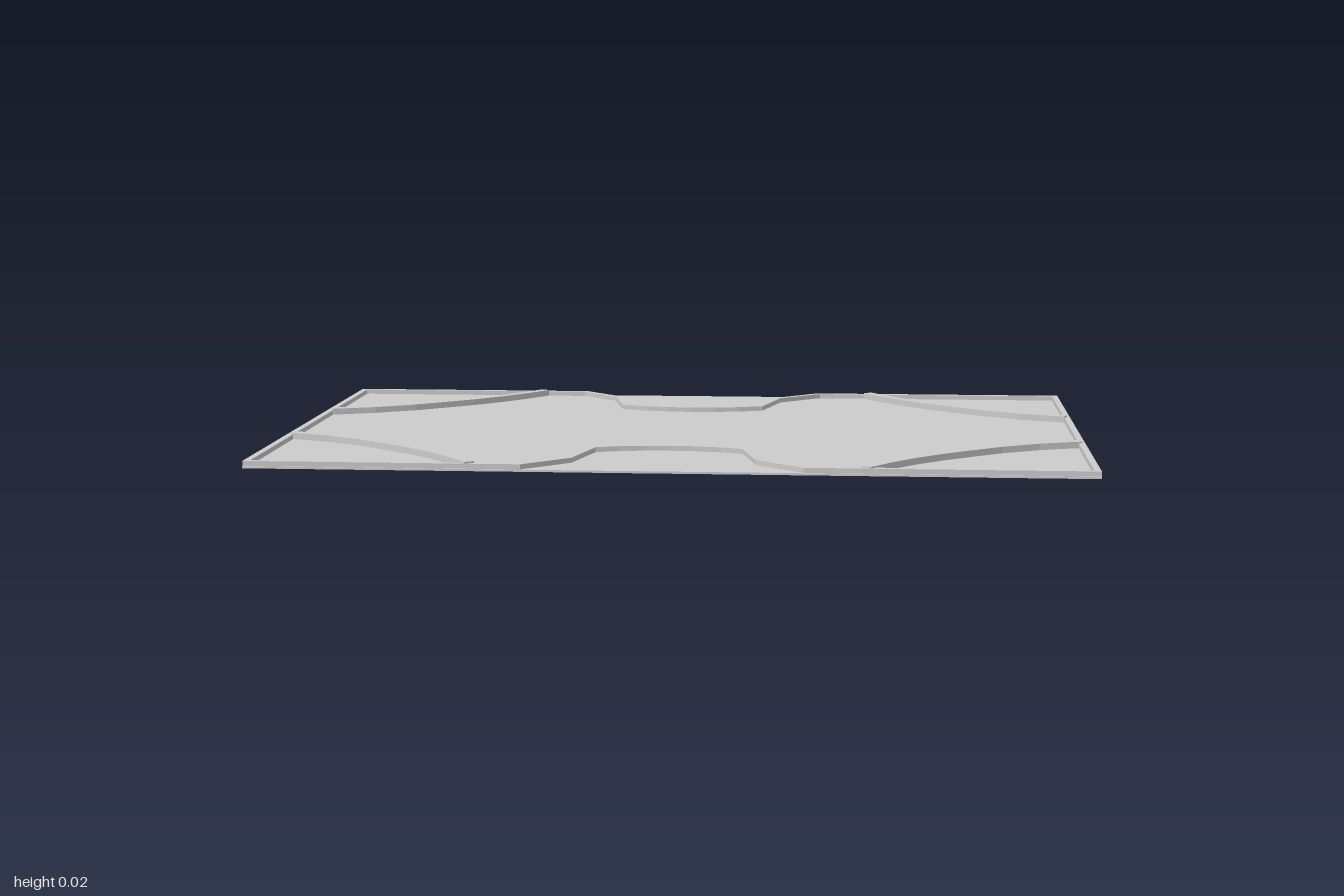
import * as THREE from 'three';

const material = new THREE.MeshStandardMaterial({ color: 0xcccccc });
const PLATE = 0.005;

// Shift a polyline sideways by d with mitred corners
function offset(points, d, closed) {
  const n = points.length;
  return points.map((p, i) => {
    const prev = closed ? points[(i + n - 1) % n] : points[Math.max(i - 1, 0)];
    const next = closed ? points[(i + 1) % n] : points[Math.min(i + 1, n - 1)];
    let a = p.clone().sub(prev).normalize();
    let b = next.clone().sub(p).normalize();
    if (a.lengthSq() === 0) a = b.clone();
    if (b.lengthSq() === 0) b = a.clone();
    const normal = new THREE.Vector2(-a.y - b.y, a.x + b.x).normalize();
    const mitre = d / (normal.x * -a.y + normal.y * a.x);
    return p.clone().addScaledVector(normal, mitre);
  });
}

// Raised strip standing on the board along a plan polyline
function strip(name, coords, width, top, closed = false) {
  const points = coords.map(([x, z]) => new THREE.Vector2(x, -z));
  const one = offset(points, width / 2, closed);
  const two = offset(points, -width / 2, closed);
  let shape;
  if (closed) {
    const [outer, inner] = Math.abs(THREE.ShapeUtils.area(one)) > Math.abs(THREE.ShapeUtils.area(two))
      ? [one, two] : [two, one];
    shape = new THREE.Shape(outer);
    shape.holes.push(new THREE.Path(inner));
  } else {
    shape = new THREE.Shape([...one, ...two.reverse()]);
  }
  const geometry = new THREE.ExtrudeGeometry(shape, { depth: top - 0.002, bevelEnabled: false });
  geometry.rotateX(-Math.PI / 2).translate(0, 0.002, 0);
  const mesh = new THREE.Mesh(geometry, material);
  mesh.name = name;
  return mesh;
}

export function createModel() {
  const group = new THREE.Group();
  group.name = 'panel';

  // Flat board
  const board = new THREE.Mesh(new THREE.BoxGeometry(2, PLATE, 1.34), material);
  board.name = 'board';
  board.position.y = PLATE / 2;
  group.add(board);

  // Border rim, stepping inwards around a recess on both long sides
  const longSide = [
    [-0.992, 0.658], [-0.345, 0.658], [-0.242, 0.555], [-0.203, 0.386],
    [-0.145, 0.364], [-0.08, 0.351], [-0.018, 0.347], [0.045, 0.351], [0.11, 0.364],
    [0.169, 0.386], [0.21, 0.555], [0.322, 0.658], [0.992, 0.658],
  ];
  const otherSide = longSide.map(([x, z]) => [x, -z]).reverse();
  group.add(strip('borderRim', [...longSide, ...otherSide], 0.016, 0.017, true));

  // Slightly taller curved ribs across the four corners
  const arc = [
    [0.463, 0.658], [0.513, 0.585], [0.572, 0.513], [0.637, 0.447],
    [0.705, 0.388], [0.785, 0.323], [0.88, 0.265], [0.988, 0.222],
  ];
  for (const sx of [-1, 1]) {
    for (const sz of [-1, 1]) {
      const name = `${sz > 0 ? 'front' : 'back'}${sx > 0 ? 'Left' : 'Right'}CornerRib`;
      group.add(strip(name, arc.map(([x, z]) => [sx * x, sz * z]), 0.026, 0.021));
    }
  }
  return group;
}
